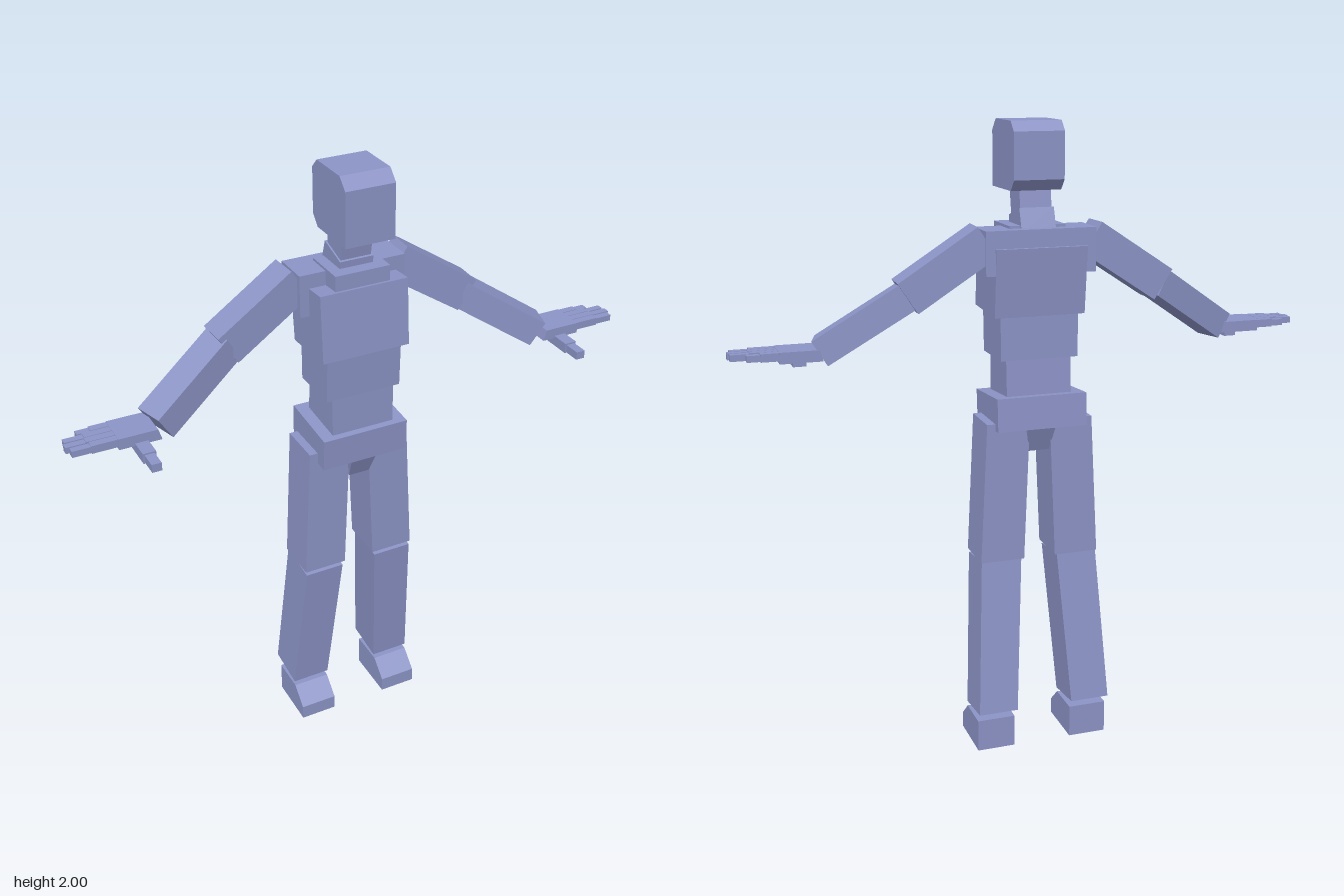
import * as THREE from 'three';

export function createModel() {
  const root = new THREE.Group();
  root.name = 'blockFigure';
  const blue = new THREE.MeshStandardMaterial({ color: 0x8c94c6, flatShading: true });
  blue.name = 'dusty blue';

  const add = (name, geometry, parent = root) => {
    const mesh = new THREE.Mesh(geometry, blue);
    mesh.name = name;
    parent.add(mesh);
    return mesh;
  };

  // Axis-aligned box from its limits
  const box = (name, x0, x1, y0, y1, z0, z1, parent) => {
    const g = new THREE.BoxGeometry(Math.abs(x1 - x0), y1 - y0, z1 - z0);
    g.translate((x0 + x1) / 2, (y0 + y1) / 2, (z0 + z1) / 2);
    return add(name, g, parent);
  };

  // Tapered, tilted block between two sections [xa, xb, yFront, zFront, yBack, zBack]
  const block = (name, bottom, top, parent) => {
    const g = new THREE.BoxGeometry(1, 1, 1);
    const p = g.attributes.position;
    for (let i = 0; i < p.count; i++) {
      const [xa, xb, yf, zf, yb, zb] = p.getY(i) > 0 ? top : bottom;
      const x = p.getX(i) > 0 ? Math.max(xa, xb) : Math.min(xa, xb);
      const front = p.getZ(i) > 0;
      p.setXYZ(i, x, front ? yf : yb, front ? zf : zb);
    }
    g.computeVertexNormals();
    return add(name, g, parent);
  };

  // Side outline of [z, y] points, given width across x
  const sideProfile = (name, points, x0, x1, parent) => {
    const shape = new THREE.Shape(points.map(([z, y]) => new THREE.Vector2(-z, y)));
    const g = new THREE.ExtrudeGeometry(shape, { depth: Math.abs(x1 - x0), bevelEnabled: false });
    g.rotateY(Math.PI / 2).translate(Math.min(x0, x1), 0, 0);
    return add(name, g, parent);
  };

  // Box running from point a to point b
  const limb = (name, a, b, width, height, parent) => {
    const from = new THREE.Vector3(...a), to = new THREE.Vector3(...b);
    const m = add(name, new THREE.BoxGeometry(width, height, from.distanceTo(to)), parent);
    m.position.copy(from).lerp(to, 0.5);
    m.lookAt(to);
    return m;
  };

  // Head and neck
  sideProfile('head', [[0.095, 1.795], [0.095, 1.965], [0.06, 2], [-0.085, 2],
    [-0.115, 1.97], [-0.115, 1.828], [-0.085, 1.795]], -0.08, 0.08);
  block('neck', [-0.05, 0.05, 1.7, 0, 1.7, -0.09], [-0.05, 0.05, 1.8, 0.018, 1.8, -0.075]);
  block('neckBase', [-0.055, 0.055, 1.67, 0.005, 1.67, -0.115], [-0.055, 0.055, 1.715, 0.01, 1.745, -0.09]);

  // Torso
  box('collar', -0.09, 0.09, 1.62, 1.693, -0.1, 0.05);
  box('shoulders', -0.175, 0.175, 1.55, 1.685, -0.138, -0.015);
  block('chest', [-0.145, 0.145, 1.43, 0.075, 1.42, -0.125], [-0.145, 0.145, 1.645, 0.06, 1.63, -0.147]);
  block('abdomen', [-0.125, 0.125, 1.285, 0.055, 1.285, -0.12], [-0.125, 0.125, 1.46, 0.062, 1.46, -0.12]);
  block('waist', [-0.105, 0.105, 1.15, 0.052, 1.15, -0.118], [-0.105, 0.105, 1.29, 0.052, 1.29, -0.11]);
  block('pelvis', [-0.145, 0.145, 1.05, 0.066, 1.07, -0.153], [-0.145, 0.145, 1.157, 0.074, 1.174, -0.147]);
  block('crotch', [-0.035, 0.035, 0.975, 0.025, 0.99, -0.11], [-0.045, 0.045, 1.06, 0.065, 1.07, -0.145]);

  for (const s of [1, -1]) {
    const side = s > 0 ? 'left' : 'right';

    // Leg
    const leg = new THREE.Group();
    leg.name = side + 'Leg';
    root.add(leg);
    block('thigh', [s * 0.052, s * 0.195, 0.638, 0.025, 0.638, -0.125],
      [s * 0.033, s * 0.172, 1.09, 0.025, 1.09, -0.125], leg);
    block('shin', [s * 0.093, s * 0.221, 0.122, -0.037, 0.138, -0.18],
      [s * 0.06, s * 0.192, 0.624, 0.024, 0.642, -0.12], leg);
    sideProfile('foot', [[0.025, 0], [0.025, 0.05], [-0.035, 0.105], [-0.155, 0.105], [-0.155, 0]],
      s * 0.096, s * 0.22, leg);

    // Arm
    const arm = new THREE.Group();
    arm.name = side + 'Arm';
    root.add(arm);
    limb('upperArm', [s * 0.165, 1.652, -0.082], [s * 0.408, 1.494, -0.07], 0.1, 0.11, arm);
    limb('forearm', [s * 0.4, 1.497, -0.07], [s * 0.652, 1.332, 0.002], 0.1, 0.088, arm);

    // Hand with four two-part fingers and a forward thumb
    block('palm', [s * 0.655, s * 0.785, 1.31, 0.062, 1.31, -0.05],
      [s * 0.665, s * 0.785, 1.345, 0.062, 1.345, -0.05], arm);
    [0.92, 0.93, 0.925, 0.88].forEach((tip, i) => {
      const z = 0.047 - i * 0.0275, knuckle = 0.785 + (tip - 0.785) * 0.58;
      box('finger', s * 0.78, s * knuckle, 1.319, 1.344, z - 0.0125, z + 0.0125, arm);
      box('fingertip', s * knuckle, s * tip, 1.321, 1.341, z - 0.011, z + 0.011, arm);
    });
    box('thumb', s * 0.697, s * 0.737, 1.285, 1.318, 0.01, 0.125, arm);
    box('thumbTip', s * 0.702, s * 0.732, 1.287, 1.313, 0.125, 0.182, arm);
  }
  return root;
}
